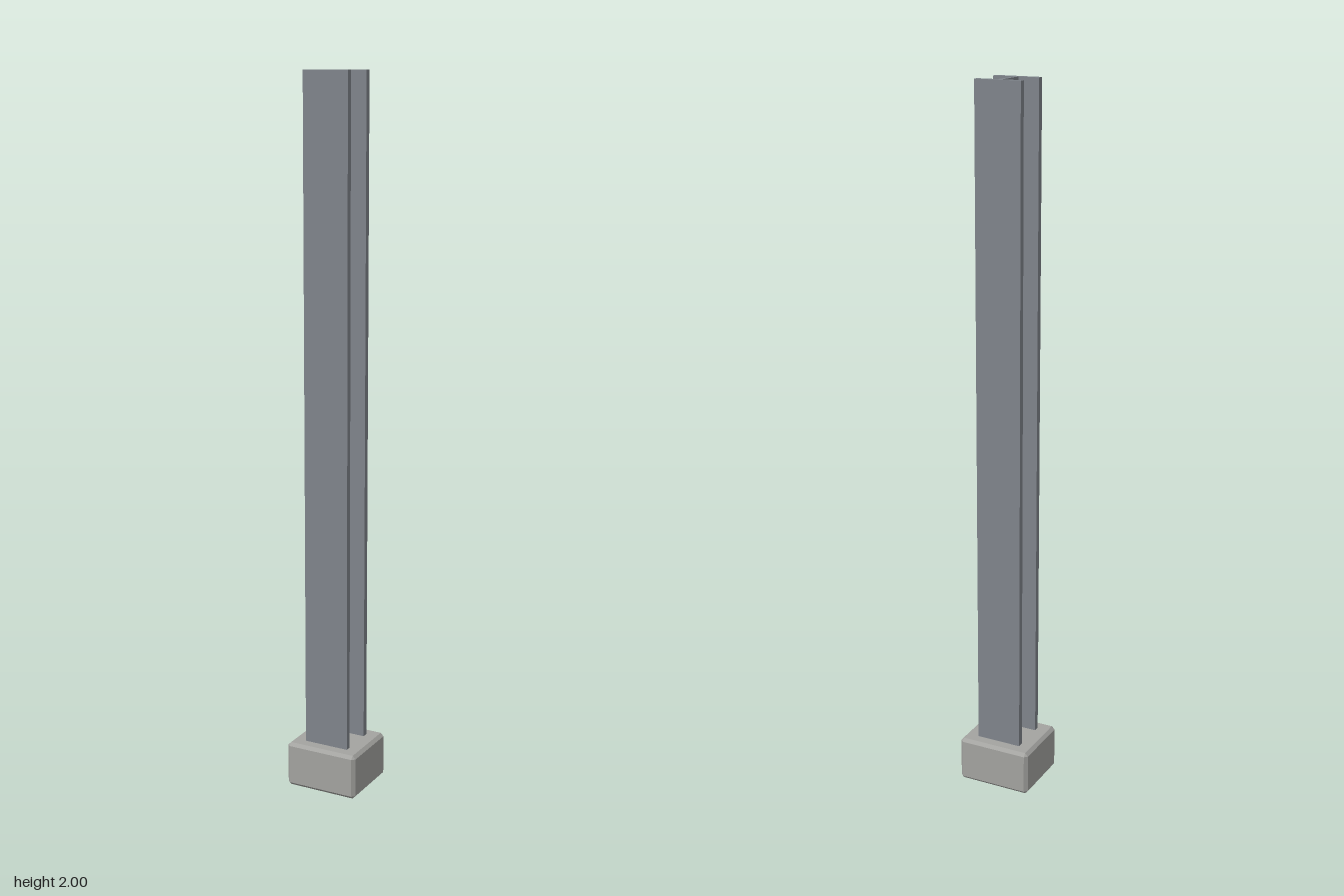
import * as THREE from 'three';
import { ConvexGeometry } from 'three/addons/geometries/ConvexGeometry.js';

// Box with flat chamfers on every edge, given by half sizes
function chamferedBox(hx, hy, hz, c) {
  const points = [];
  for (const x of [-1, 1]) for (const y of [-1, 1]) for (const z of [-1, 1]) {
    points.push(
      new THREE.Vector3(x * hx, y * (hy - c), z * (hz - c)),
      new THREE.Vector3(x * (hx - c), y * hy, z * (hz - c)),
      new THREE.Vector3(x * (hx - c), y * (hy - c), z * hz),
    );
  }
  return new ConvexGeometry(points);
}

// H-shaped section: flanges face front and back, joined by a thin web
function beamGeometry(halfWidth, halfDepth, flange, halfWeb, height) {
  const inner = halfDepth - flange;
  const quarter = [[halfWeb, inner], [halfWidth, inner], [halfWidth, halfDepth]];
  const right = [...quarter.map(([x, z]) => [x, -z]).reverse(), ...quarter];
  const left = right.map(([x, z]) => [-x, -z]);
  const shape = new THREE.Shape([...right, ...left].map(([x, z]) => new THREE.Vector2(x, z)));
  const geometry = new THREE.ExtrudeGeometry(shape, { depth: height, bevelEnabled: false });
  return geometry.rotateX(-Math.PI / 2);
}

export function createModel() {
  const steel = new THREE.MeshStandardMaterial({ color: 0x80858c });
  steel.name = 'steel grey';
  const concrete = new THREE.MeshStandardMaterial({ color: 0xa3a3a0 });
  concrete.name = 'concrete grey';

  const model = new THREE.Group();
  model.name = 'steelColumn';

  // Steel column running through the footing to the ground
  const beam = new THREE.Mesh(beamGeometry(0.066, 0.061, 0.017, 0.0065, 2), steel);
  beam.name = 'beam';

  // Concrete footing
  const footing = new THREE.Mesh(chamferedBox(0.108, 0.065, 0.0975, 0.009), concrete);
  footing.name = 'footing';
  footing.position.y = 0.066;

  model.add(beam, footing);
  return model;
}
